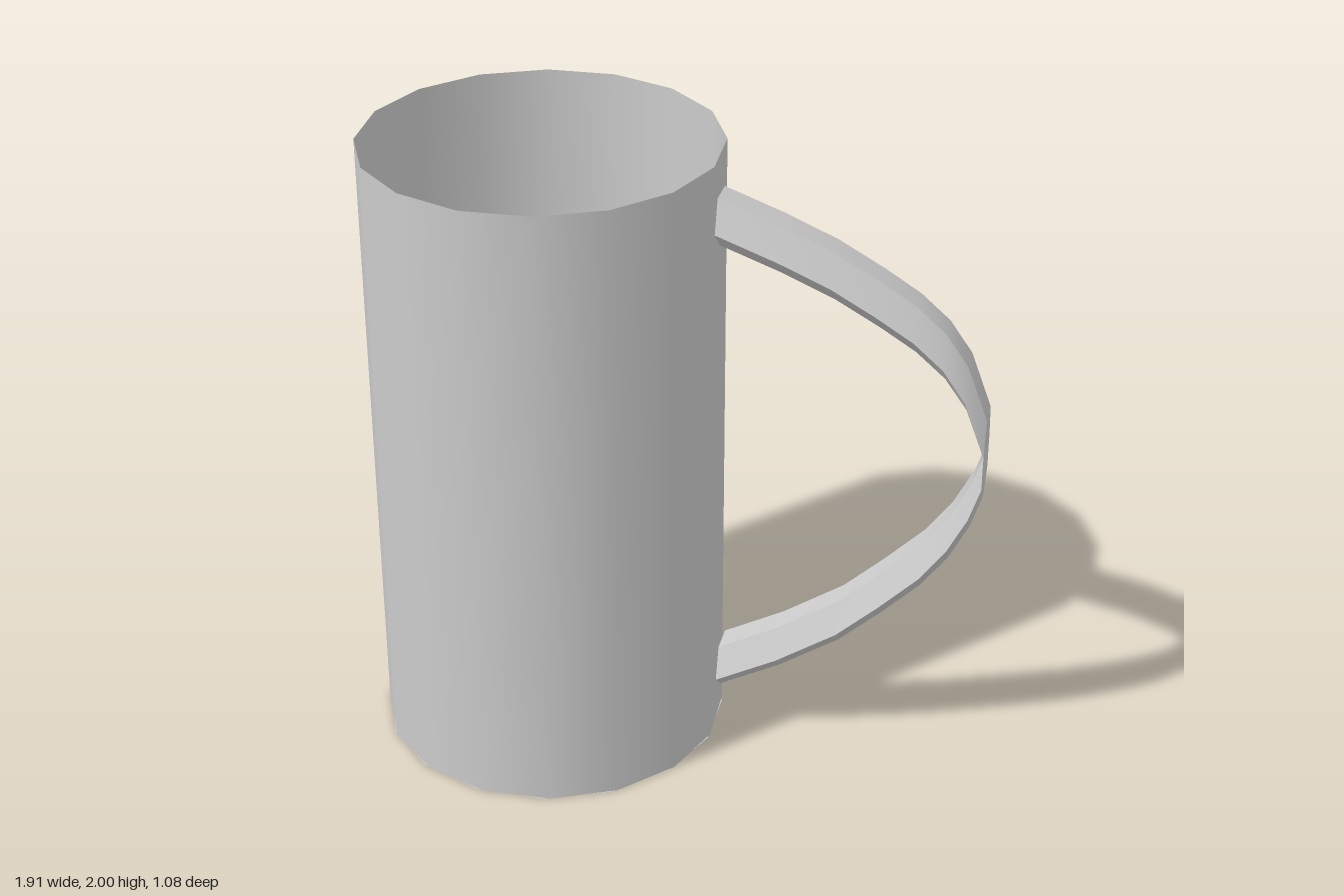
import * as THREE from 'three';
import { toCreasedNormals } from 'three/addons/utils/BufferGeometryUtils.js';

const SIDES = 16, RADIUS = 0.55, HEIGHT = 2, CUP_X = -0.41, TURN = 0.215;

// Sweeps an upright pentagon along the path; the section keeps facing x.
function sweepPentagon(path, radius, tilt, z) {
  const n = 5, pos = [], index = [];
  for (const [x, y] of path) {
    for (let i = 0; i < n; i++) {
      const a = (i / n) * Math.PI * 2 - Math.PI / 2 + tilt;
      pos.push(x, y + radius * Math.sin(a), z + radius * Math.cos(a));
    }
  }
  for (let r = 0; r < path.length - 1; r++) {
    for (let i = 0; i < n; i++) {
      const a = r * n + i, b = r * n + ((i + 1) % n);
      index.push(a, a + n, b, b, a + n, b + n);
    }
  }
  // end caps
  const last = (path.length - 1) * n;
  for (let i = 1; i < n - 1; i++) {
    index.push(0, i, i + 1, last, last + i, last + i + 1);
  }
  const geo = new THREE.BufferGeometry();
  geo.setAttribute('position', new THREE.Float32BufferAttribute(pos, 3));
  geo.setIndex(index);
  return toCreasedNormals(geo, Math.PI / 6);
}

export function createModel() {
  const model = new THREE.Group();
  const material = new THREE.MeshStandardMaterial({ color: 0xcccccc, side: THREE.DoubleSide });
  const add = (name, geo) => {
    const mesh = new THREE.Mesh(geo, material);
    mesh.name = name;
    model.add(mesh);
    return mesh;
  };

  // Thin open wall of the mug
  const wall = add('cupWall', new THREE.CylinderGeometry(RADIUS, RADIUS, HEIGHT, SIDES, 1, true, TURN));
  wall.position.set(CUP_X, HEIGHT / 2, 0);

  // Flat floor closing the bottom
  const floorGeo = new THREE.CircleGeometry(RADIUS, SIDES, TURN - Math.PI / 2);
  floorGeo.rotateX(Math.PI / 2);
  const floor = add('cupFloor', floorGeo);
  floor.position.set(CUP_X, 0, 0);

  // Bowed handle, from the upper joint round to the lower one
  const path = [
    [0.135, 1.81], [0.32, 1.74], [0.48, 1.67], [0.62, 1.59], [0.73, 1.52],
    [0.82, 1.44], [0.89, 1.34], [0.955, 1.165], [0.955, 1.05], [0.92, 0.94],
    [0.86, 0.82], [0.78, 0.71], [0.66, 0.59], [0.53, 0.47], [0.34, 0.345], [0.15, 0.245],
  ];
  add('handle', sweepPentagon(path, 0.092, 0.07, 0.016));

  return model;
}
